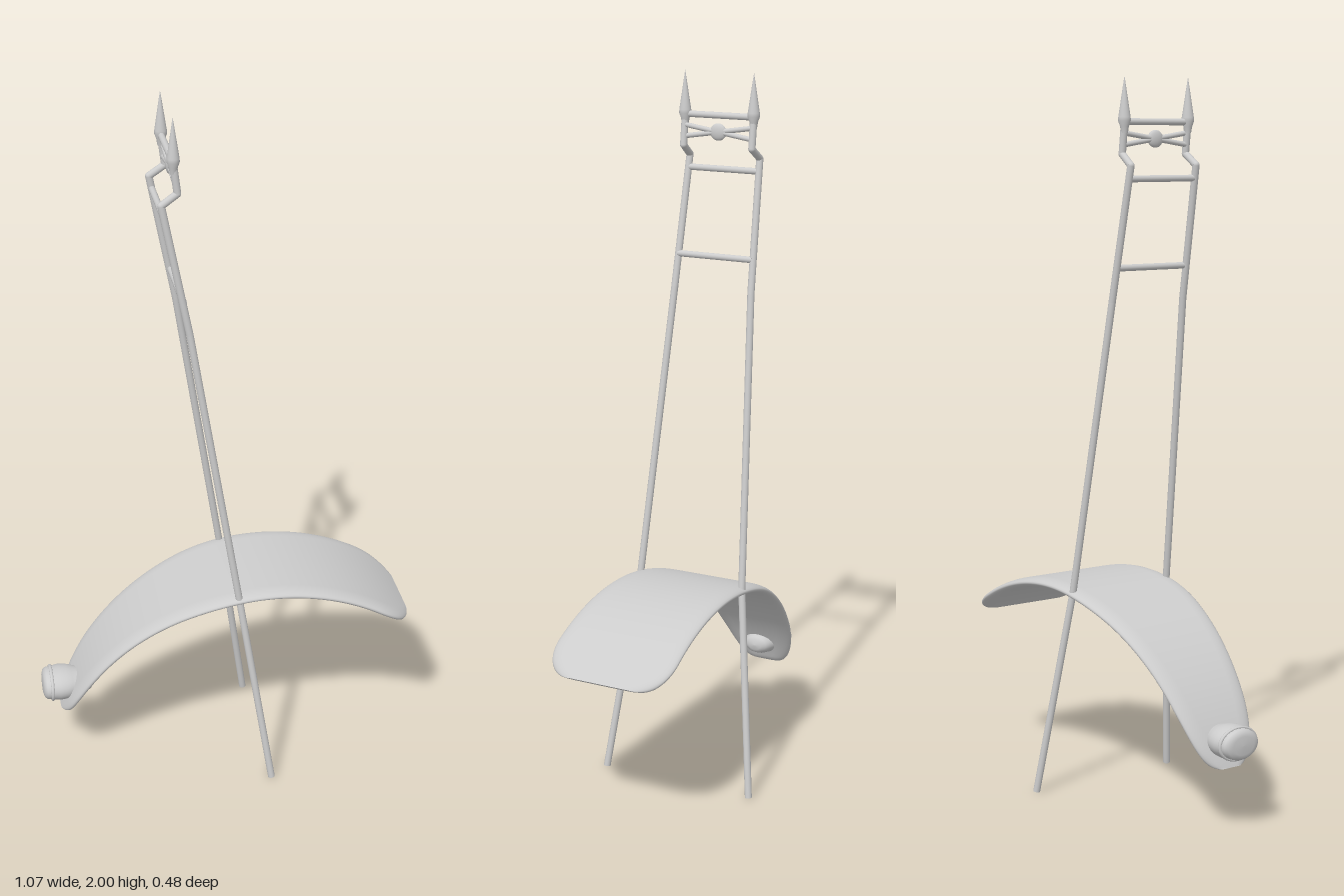
import * as THREE from 'three';

const metal = new THREE.MeshStandardMaterial({ color: 0xcccccc, side: THREE.DoubleSide });
metal.name = 'light grey metal';
const V = (x, y, z) => new THREE.Vector3(x, y, z);

function add(parent, name, geometry) {
  const mesh = new THREE.Mesh(geometry, metal);
  mesh.name = name;
  parent.add(mesh);
  return mesh;
}

// Round rod between two points
function rod(parent, name, a, b, r) {
  const dir = b.clone().sub(a);
  const mesh = add(parent, name, new THREE.CylinderGeometry(r, r, dir.length(), 16));
  mesh.position.copy(a).add(b).multiplyScalar(0.5);
  mesh.quaternion.setFromUnitVectors(V(0, 1, 0), dir.normalize());
}

// Fender: a solid circular arch with rounded edges, its outline giving half width along the arc
function fenderGeometry() {
  const R = 0.645, cx = 0.12, cy = -0.045, start = -0.785, end = 0.447;
  const outline = new THREE.Path();
  outline.moveTo(start, 0.03);
  outline.bezierCurveTo(-0.775, 0.083, -0.7, 0.103, -0.604, 0.119);
  outline.lineTo(-0.28, 0.162);
  outline.quadraticCurveTo(-0.18, 0.177, -0.09, 0.178);
  outline.lineTo(0.33, 0.186);
  outline.bezierCurveTo(0.4, 0.186, end, 0.15, end, 0.09);
  const rows = 140, half = 12, loop = 2 * (half + 1), pos = [], idx = [];
  outline.getSpacedPoints(rows).forEach((p, i) => {
    const a = p.x / R;
    const d = Math.min(1, (p.x - start) / 0.03, (end - p.x) / 0.03);
    const h = 0.014 * Math.sqrt(Math.max(0, 1 - (1 - d) ** 2)); // half thickness, closing at the ends
    const e = Math.min(0.045, p.y * 0.6);
    for (let j = 0; j < loop; j++) {
      const side = j <= half ? 1 : -1;
      const phi = ((j % (half + 1)) / half - 0.5) * Math.PI + (side < 0 ? Math.PI : 0);
      const r = R - h + h * Math.sin(phi);
      pos.push(cx + r * Math.sin(a), cy + r * Math.cos(a), side * (p.y - e) + e * Math.cos(phi));
      if (i < rows) {
        const k = i * loop + j, k1 = i * loop + (j + 1) % loop;
        idx.push(k, k + loop, k1, k1, k + loop, k1 + loop);
      }
    }
  });
  const g = new THREE.BufferGeometry();
  g.setAttribute('position', new THREE.Float32BufferAttribute(pos, 3));
  g.setIndex(idx);
  g.computeVertexNormals();
  return g;
}

const lathe = (pts) => new THREE.LatheGeometry(pts.map((p) => new THREE.Vector2(...p)), 40);

export function createModel() {
  const model = new THREE.Group();
  model.name = 'fenderWithBackrest';
  add(model, 'fender', fenderGeometry());

  // Oval tail lamp lying along x
  const lamp = new THREE.Group();
  lamp.name = 'tailLamp';
  lamp.position.y = 0.25;
  lamp.rotation.z = -Math.PI / 2;
  lamp.scale.x = 0.72;
  add(lamp, 'lampLens', lathe([[0, -0.536], [0.035, -0.535], [0.05, -0.531], [0.057, -0.524], [0.059, -0.512]]));
  const rim = add(lamp, 'lampRim', new THREE.TorusGeometry(0.061, 0.005, 10, 40));
  rim.rotation.x = Math.PI / 2;
  rim.position.y = -0.509;
  add(lamp, 'lampBody', lathe([[0.06, -0.508], [0.064, -0.487], [0.062, -0.465], [0.057, -0.45],
    [0.051, -0.435], [0.044, -0.41], [0.034, -0.395], [0.02, -0.388], [0, -0.386]]));
  model.add(lamp);

  // Two bent uprights with spear tips
  for (const s of [1, -1]) {
    const upright = new THREE.Group();
    upright.name = s > 0 ? 'frontUpright' : 'rearUpright';
    const path = [[0.106, 0, 0.232], [0.02, 0.585, 0.163], [-0.108, 1.4, 0.12], [-0.178, 1.765, 0.109],
      [-0.135, 1.795, 0.106], [-0.145, 1.875, 0.106]].map((p) => V(p[0], p[1], s * p[2]));
    for (let i = 1; i < path.length; i++) {
      rod(upright, 'pole', path[i - 1], path[i], 0.01);
      if (i < path.length - 1) {
        add(upright, 'poleBend', new THREE.SphereGeometry(0.01, 16, 10)).position.copy(path[i]);
      }
    }
    const spear = add(upright, 'spearTip', lathe([[0.009, 1.85], [0.012, 1.868], [0.017, 1.882],
      [0.0165, 1.892], [0.011, 1.928], [0.005, 1.968], [0, 2]]));
    spear.position.set(-0.145, 0, s * 0.106);
    model.add(upright);
  }

  // Straight crossbars
  for (const [x, y, z] of [[-0.123, 1.492, 0.116], [-0.171, 1.73, 0.11], [-0.145, 1.88, 0.106]]) {
    rod(model, 'crossbar', V(x, y, -z), V(x, y, z), 0.009);
  }

  // Crossed ornament rods with a central knot
  for (const s of [1, -1]) {
    rod(model, 'ornamentRod', V(-0.14, 1.835 - s * 0.016, -0.106), V(-0.14, 1.835 + s * 0.016, 0.106), 0.007);
  }
  const knot = add(model, 'ornamentKnot', new THREE.SphereGeometry(0.025, 20, 14));
  knot.scale.set(0.4, 0.95, 1);
  knot.position.set(-0.14, 1.835, 0);
  return model;
}
